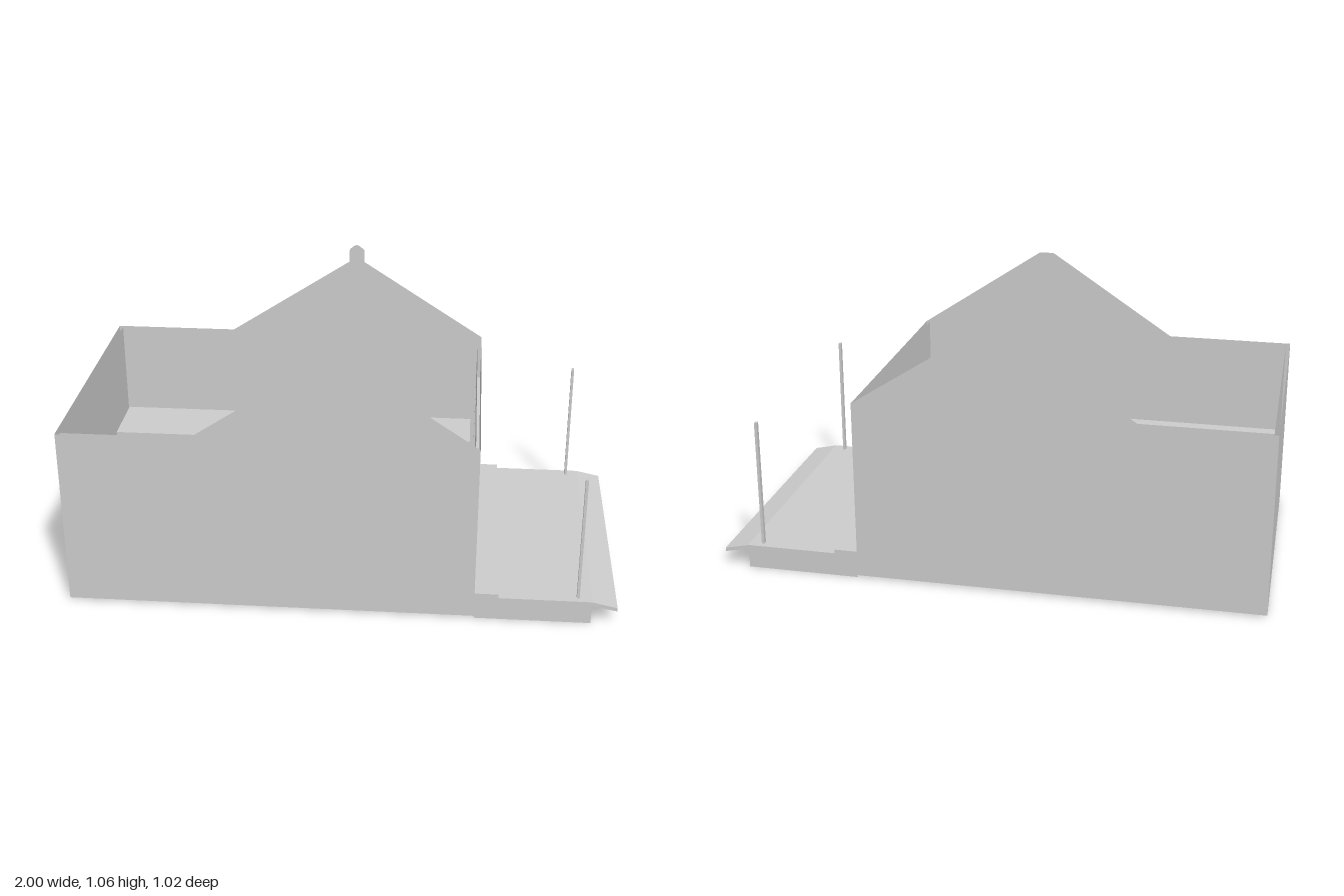
import * as THREE from 'three';

const material = new THREE.MeshStandardMaterial({ color: 0xcccccc, side: THREE.DoubleSide, flatShading: true });

const OUT = { back: -1, front: 0.488, z: 0.508 };    // outer skin of the shell
const IN = { back: -0.984, front: 0.472, z: 0.496 }; // inner skin of the shell
const FLOOR = 0.105, DECK = 0.09, EAVES = 0.682;
const OPEN = { z: 0.472, top: 0.52 };                // wide doorway

function add(parent, name, geometry, x = 0, y = 0, z = 0) {
  const mesh = new THREE.Mesh(geometry, material);
  mesh.name = name;
  mesh.position.set(x, y, z);
  parent.add(mesh);
  return mesh;
}

// solid box given by its limits
function box(parent, name, x0, x1, y0, y1, z0, z1) {
  return add(parent, name, new THREE.BoxGeometry(x1 - x0, y1 - y0, z1 - z0),
    (x0 + x1) / 2, (y0 + y1) / 2, (z0 + z1) / 2);
}

// flat sheet from 2D points, in the XY plane
function sheet(points) {
  return new THREE.ShapeGeometry(new THREE.Shape(points.map(p => new THREE.Vector2(...p))));
}

function rect(u0, u1, v0, v1) {
  return [[u0, v0], [u1, v0], [u1, v1], [u0, v1]];
}

// sheet across the house (points are z, y) at a given x
function crossSheet(parent, name, x, points) {
  return add(parent, name, sheet(points.map(([z, y]) => [-z, y])).rotateY(Math.PI / 2), x);
}

// horizontal sheet at a given height
function levelSheet(parent, name, y, x0, x1, z) {
  return add(parent, name, sheet(rect(x0, x1, -z, z)).rotateX(-Math.PI / 2), 0, y);
}

// gable wall outline, optionally with the ridge finial
function gable(back, front, bottom, finial) {
  const ridge = finial
    ? [[0.01, 0.99], [0.01, 1.04], [-0.008, 1.055], [-0.02, 1.06], [-0.032, 1.055], [-0.048, 1.04], [-0.048, 0.99]]
    : [[0.01, 1], [-0.045, 1]];
  return [[back, bottom], [front, bottom], [front, EAVES], ...ridge, [-0.525, EAVES], [back, EAVES]];
}

export function createModel() {
  const model = new THREE.Group();
  model.name = 'openRoofHouse';

  // walls: an outer and an inner skin, open along the top
  const walls = new THREE.Group();
  walls.name = 'walls';
  model.add(walls);
  for (const [skin, s, bottom] of [['outer', OUT, 0.01], ['inner', IN, FLOOR]]) {
    for (const side of [-1, 1]) {
      add(walls, skin + 'GableWall', sheet(gable(s.back, s.front, bottom, side < 0)), 0, 0, side * s.z);
      crossSheet(walls, skin + 'DoorJamb', s.front,
        rect(...[side * OPEN.z, side * s.z].sort((a, b) => a - b), DECK, OPEN.top));
    }
    crossSheet(walls, skin + 'EndWall', s.back, rect(-s.z, s.z, bottom, EAVES));
    crossSheet(walls, skin + 'Lintel', s.front, rect(-s.z, s.z, OPEN.top, EAVES));
  }

  // doorway reveals
  for (const side of [-1, 1]) {
    add(walls, 'doorReveal', sheet(rect(IN.front, OUT.front, FLOOR, OPEN.top)), 0, 0, side * OPEN.z);
  }
  levelSheet(walls, 'doorSoffit', OPEN.top, IN.front, OUT.front, OPEN.z);

  // interior floor with its underside, and the threshold step
  levelSheet(model, 'floor', FLOOR, IN.back, OUT.front, IN.z);
  levelSheet(model, 'floorUnderside', DECK, IN.back, OUT.front, IN.z);
  box(model, 'thresholdStep', OUT.front, 0.574, DECK, FLOOR, -OUT.z, OUT.z);

  // porch deck on a skirt that is open below
  const porch = new THREE.Group();
  porch.name = 'porch';
  model.add(porch);
  levelSheet(porch, 'deck', DECK, OUT.front, 0.91, OUT.z);
  crossSheet(porch, 'frontSkirt', 0.908, rect(-OUT.z, OUT.z, 0.002, DECK));
  for (const side of [-1, 1]) {
    add(porch, 'sideSkirt', sheet(rect(OUT.front, 0.908, 0.002, DECK)), 0, 0, side * OUT.z);
    box(porch, 'porchPole', 0.855, 0.865, DECK, 0.57, side * 0.477 - 0.008, side * 0.477 + 0.008);
  }

  // sloping lip at the front of the deck
  const lip = new THREE.Shape([[0.908, 0.075], [1, 0.056], [1, 0.07], [0.908, DECK]]
    .map(p => new THREE.Vector2(...p)));
  add(porch, 'slopingLip',
    new THREE.ExtrudeGeometry(lip, { depth: 2 * OUT.z, bevelEnabled: false }), 0, 0, -OUT.z);

  // counters along both long walls
  for (const [x0, x1, z0, z1] of [
    [-0.98, -0.23, -0.495, -0.252], [0.095, 0.455, -0.495, -0.285],
    [-0.965, -0.345, 0.322, 0.495], [-0.235, 0.41, 0.302, 0.495],
  ]) box(model, 'counter', x0, x1, FLOOR, 0.32, z0, z1);

  return model;
}
